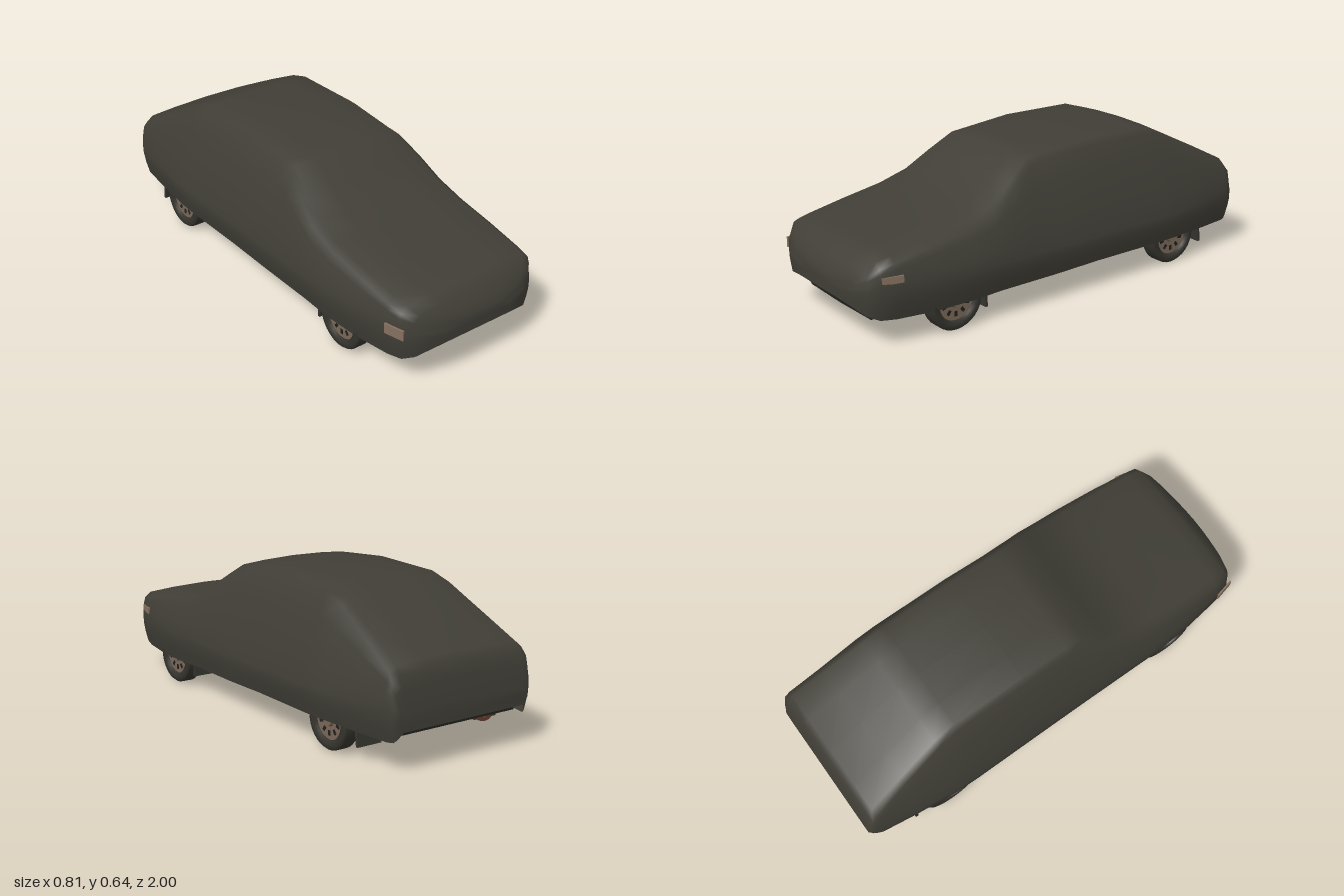
import * as THREE from 'three';

const mat = (name, color, side = THREE.FrontSide) => {
  const m = new THREE.MeshStandardMaterial({ color, side });
  m.name = name;
  return m;
};

// Cover stations, front to rear: z, top height, roof corner x, greatest half width, hem height
const STATIONS = [
  [1.0, 0.265, 0.12, 0.17, 0.18], [0.98, 0.295, 0.22, 0.26, 0.16], [0.955, 0.33, 0.285, 0.31, 0.135],
  [0.915, 0.367, 0.322, 0.345, 0.118], [0.85, 0.38, 0.328, 0.362, 0.113], [0.68, 0.41, 0.332, 0.386, 0.11],
  [0.5, 0.44, 0.332, 0.4, 0.115], [0.37, 0.48, 0.325, 0.4, 0.12], [0.26, 0.55, 0.305, 0.4, 0.12],
  [0.155, 0.618, 0.276, 0.4, 0.12], [0.08, 0.626, 0.272, 0.4, 0.12], [-0.15, 0.645, 0.274, 0.402, 0.125],
  [-0.49, 0.638, 0.272, 0.405, 0.125], [-0.59, 0.606, 0.278, 0.402, 0.125], [-0.78, 0.51, 0.3, 0.382, 0.122],
  [-0.945, 0.423, 0.322, 0.36, 0.12], [-0.97, 0.39, 0.326, 0.35, 0.122], [-0.985, 0.34, 0.32, 0.343, 0.135],
  [-1.0, 0.245, 0.305, 0.325, 0.165],
];

// Half cross-section from the ridge down to the hem
function halfSection([, top, c, w, hem]) {
  const drop = Math.min(0.035, (top - hem) * 0.25);
  const belt = Math.min(0.25, hem + (top - hem) * 0.55);
  const pts = [[0, top], [c * 0.55, top - 0.004], [c * 0.94, top - 0.012], [c + 0.011, top - drop]];
  const bulge = 0.012 * Math.max(0, (top - 0.25) / 0.38);
  for (const t of [0.25, 0.5, 0.75]) {
    pts.push([
      THREE.MathUtils.lerp(c + 0.011, w, t) + bulge * 4 * t * (1 - t),
      THREE.MathUtils.lerp(top - drop, belt, t),
    ]);
  }
  for (const [inset, f] of [[0, 1], [0.001, 0.72], [0.008, 0.4], [0.022, 0]]) pts.push([w - inset, hem + (belt - hem) * f]);
  return pts;
}

function coverGeometry() {
  const pos = [], idx = [];
  let n = 0;
  for (const s of STATIONS) {
    const half = halfSection(s);
    const ring = [...half.slice(1).reverse().map(([x, y]) => [-x, y]), ...half];
    n = ring.length;
    ring.forEach(([x, y]) => pos.push(x, y, s[0]));
  }
  const last = STATIONS.length - 1;
  for (let j = 0; j < last; j++) {
    for (let i = 0; i < n - 1; i++) {
      const a = j * n + i, c = a + n;
      idx.push(a, a + 1, c, a + 1, c + 1, c);
    }
  }
  // nose and tail caps
  const front = pos.length / 3;
  pos.push(0, 0.225, 1.0, 0, 0.205, -1.0);
  for (let i = 0; i < n; i++) {
    const k = (i + 1) % n;
    idx.push(front, k, i, front + 1, last * n + i, last * n + k);
  }
  const g = new THREE.BufferGeometry();
  g.setAttribute('position', new THREE.Float32BufferAttribute(pos, 3));
  g.setIndex(idx);
  g.computeVertexNormals();
  return g;
}

export function createModel() {
  const root = new THREE.Group();
  const cloth = mat('cover cloth', 0x403e36, THREE.DoubleSide);
  const under = mat('underbody black', 0x20211e);
  const steel = mat('chassis grey', 0x35362f);
  const rubber = mat('tyre rubber', 0x34332d);
  const rimMat = mat('rim brown', 0x796757);
  const rust = mat('exhaust rust', 0x643c2c);
  const sillMat = mat('sill beige', 0x85715f, THREE.DoubleSide);

  const add = (name, geo, material, x = 0, y = 0, z = 0, parent = root) => {
    const m = new THREE.Mesh(geo, material);
    m.name = name;
    m.position.set(x, y, z);
    parent.add(m);
    return m;
  };
  const box = (name, w, h, d, material, x, y, z) => add(name, new THREE.BoxGeometry(w, h, d), material, x, y, z);
  const tube = (name, pts, r, material) => add(name, new THREE.TubeGeometry(
    new THREE.CatmullRomCurve3(pts.map(p => new THREE.Vector3(...p)), false, 'catmullrom', 0.2), 40, r, 8), material);

  add('cover', coverGeometry(), cloth);

  // floor pan, notched around the wheels
  const outline = [[0, -0.94], [0.31, -0.94], [0.33, -0.76], [0.26, -0.75], [0.26, -0.46], [0.36, -0.45],
    [0.36, 0.42], [0.26, 0.43], [0.26, 0.74], [0.31, 0.75], [0.27, 0.9], [0, 0.94]];
  const floor = new THREE.Shape([...outline, ...outline.slice(1, -1).reverse().map(([x, z]) => [-x, z])]
    .map(([x, z]) => new THREE.Vector2(x, z)));
  const floorGeo = new THREE.ExtrudeGeometry(floor, { depth: 0.012, bevelEnabled: false });
  floorGeo.rotateX(Math.PI / 2);
  add('floorPan', floorGeo, under, 0, 0.142, 0);

  // front valance below the nose
  const valance = new THREE.Shape([[-0.31, 0.14], [-0.23, 0.085], [0, 0.08], [0.23, 0.085], [0.31, 0.14]]
    .map(p => new THREE.Vector2(...p)));
  add('frontValance', new THREE.ExtrudeGeometry(valance, { depth: 0.08, bevelEnabled: false }), under, 0, 0, 0.82);

  // floor rails, cross members, engine sump and axles
  box('sump', 0.2, 0.05, 0.22, under, 0.03, 0.115, 0.62);
  box('frontCrossMember', 0.5, 0.025, 0.05, steel, 0, 0.12, 0.5);
  box('rearCrossMember', 0.5, 0.02, 0.04, steel, 0, 0.122, -0.4);
  const axle = add('rearAxle', new THREE.CylinderGeometry(0.016, 0.016, 0.6, 12), steel, 0, 0.12, -0.6);
  axle.rotation.z = Math.PI / 2;
  for (const s of [-1, 1]) {
    box('floorRail', 0.045, 0.025, 0.36, steel, s * 0.18, 0.117, 0.2);
    box('trailingArm', 0.025, 0.02, 0.28, steel, s * 0.22, 0.118, -0.48);
    box('sill', 0.02, 0.02, 0.84, sillMat, s * 0.355, 0.128, -0.02);
    const arm = add('frontAxleArm', new THREE.CylinderGeometry(0.012, 0.012, 0.22, 8), steel, s * 0.2, 0.118, 0.58);
    arm.rotation.z = Math.PI / 2;
    for (const z of [0.43, -0.78]) {
      const flap = box('mudFlap', 0.115, 0.075, 0.012, steel, s * 0.298, 0.095, z);
      flap.rotation.x = z > 0 ? 0.05 : 0.12;
    }
  }

  // exhaust line and fuel tank
  tube('exhaustPipe', [[-0.09, 0.118, 0.64], [-0.07, 0.116, 0.48], [0, 0.116, 0.3], [0, 0.116, -0.1],
    [-0.08, 0.116, -0.3], [-0.12, 0.116, -0.45], [-0.16, 0.118, -0.7], [-0.175, 0.118, -0.93]], 0.01, rust);
  for (const [name, x, z, len] of [['middleSilencer', 0, 0.1, 0.16], ['rearSilencer', -0.175, -0.83, 0.18]]) {
    const can = add(name, new THREE.CylinderGeometry(0.034, 0.034, len, 16), rust, x, 0.118, z);
    can.rotation.x = Math.PI / 2;
    can.scale.z = 0.5;
  }
  box('fuelTank', 0.2, 0.015, 0.12, rust, 0.06, 0.125, -0.48);

  // wheels
  const tyreGeo = new THREE.LatheGeometry([[0.084, -0.03], [0.1, -0.037], [0.117, -0.036], [0.125, -0.026],
    [0.125, 0.026], [0.117, 0.036], [0.1, 0.037], [0.084, 0.03], [0.084, -0.03]].map(p => new THREE.Vector2(...p)), 32);
  const rimGeo = new THREE.CylinderGeometry(0.085, 0.085, 0.044, 28);
  const hubGeo = new THREE.CylinderGeometry(0.024, 0.03, 0.012, 16);
  const slotGeo = new THREE.BoxGeometry(0.022, 0.005, 0.014);
  for (const s of [-1, 1]) {
    for (const z of [0.58, -0.605]) {
      const wheel = new THREE.Group();
      wheel.name = z > 0 ? 'frontWheel' : 'rearWheel';
      wheel.position.set(s * 0.331, 0.125, z);
      wheel.rotation.z = -s * Math.PI / 2;
      add('tyre', tyreGeo, rubber, 0, 0, 0, wheel);
      add('rim', rimGeo, rimMat, 0, 0, 0, wheel);
      add('hub', hubGeo, rimMat, 0, 0.027, 0, wheel);
      for (let i = 0; i < 10; i++) {
        const a = i * Math.PI / 5;
        const slot = add('rimSlot', slotGeo, under, 0.057 * Math.cos(a), 0.021, 0.057 * Math.sin(a), wheel);
        slot.rotation.y = -a;
      }
      root.add(wheel);
    }
  }

  // lamp corners showing through the cover
  for (const [s, y, z, h] of [[-1, 0.25, 0.9, 0.045], [1, 0.285, 0.87, 0.03]]) {
    const lamp = box('cornerLamp', 0.008, h, 0.09, sillMat, s * 0.351, y, z);
    lamp.rotation.y = s * -0.24;
  }
  return root;
}
